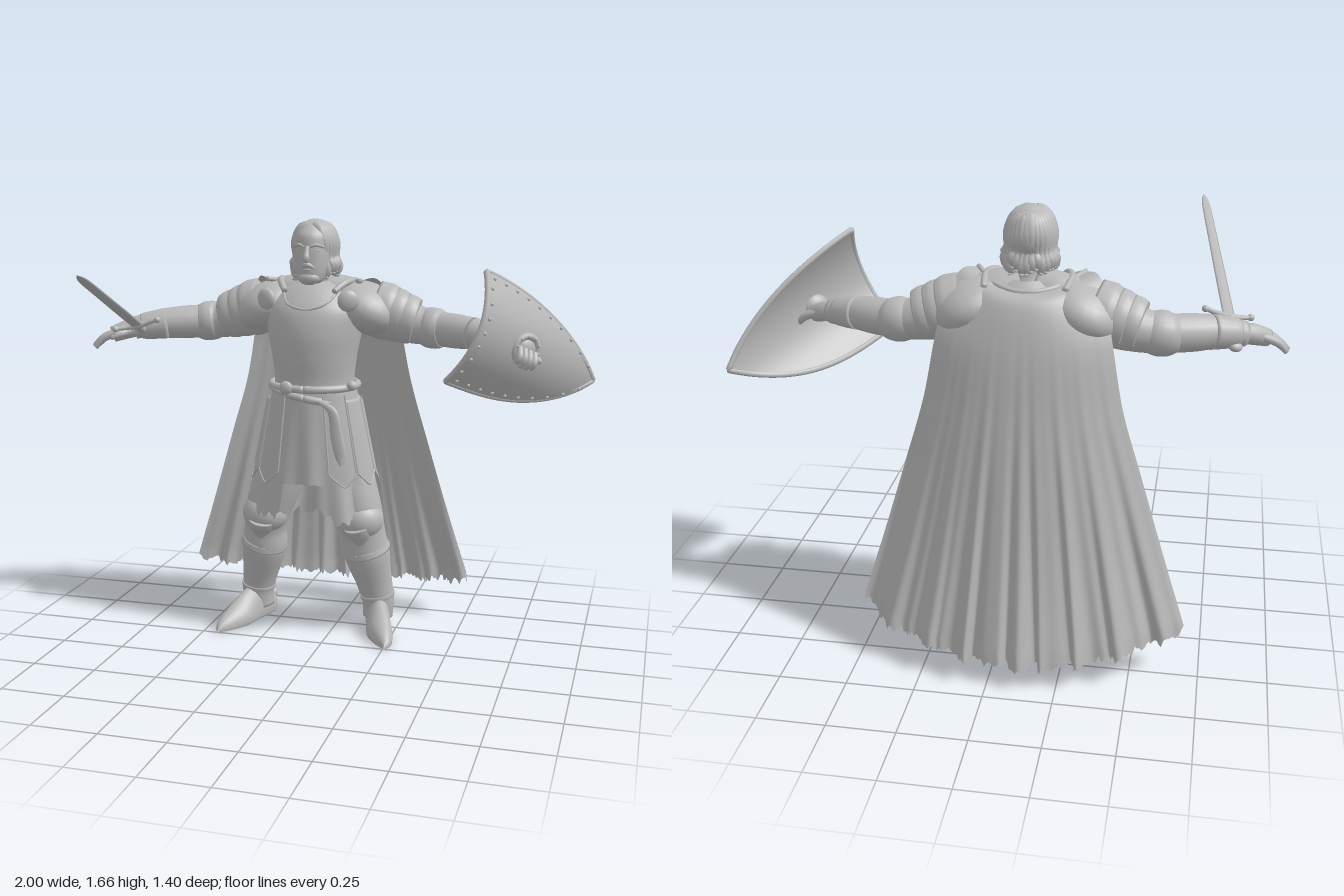
import * as THREE from 'three';

const V = (x, y, z) => new THREE.Vector3(x, y, z);
const CX = -0.09; // body centre line
const { sin, cos, abs, PI, pow, min, max } = Math;
const steel = new THREE.MeshStandardMaterial({ color: 0xb8b8b8, side: THREE.DoubleSide });
steel.name = 'plain grey';

// surface from f(u, v) -> [x, y, z], optionally closed in u
function grid(f, nu, nv, closed = false) {
  const pos = [], idx = [], w = closed ? nu : nu + 1;
  for (let j = 0; j <= nv; j++) for (let i = 0; i < w; i++) pos.push(...f(i / nu, j / nv));
  for (let j = 0; j < nv; j++) for (let i = 0; i < nu; i++) {
    const a = j * w + i, b = j * w + (i + 1) % w;
    idx.push(a, a + w, b, b, a + w, b + w);
  }
  const g = new THREE.BufferGeometry();
  g.setAttribute('position', new THREE.Float32BufferAttribute(pos, 3));
  g.setIndex(idx);
  g.computeVertexNormals();
  return g;
}
// smooth lookup in a table of rows
function rowAt(rows, t) {
  const p = t * (rows.length - 1), i = min(Math.floor(p), rows.length - 2), f = p - i;
  const at = k => rows[max(0, min(rows.length - 1, k))];
  return rows[i].map((b, k) => {
    const a = at(i - 1)[k], c = at(i + 1)[k], d = at(i + 2)[k];
    return b + 0.5 * f * (c - a + f * (2 * a - 5 * b + 4 * c - d + f * (3 * (b - c) + d - a)));
  });
}
// rounded limb through points [x, y, z, radius]
function limb(pts, nu = 16, nv = 20) {
  const first = V(...pts[0]), last = V(...pts[pts.length - 1]);
  const dir = last.clone().sub(first).normalize();
  const ref = abs(dir.y) > 0.8 ? V(0, 0, 1) : V(0, 1, 0);
  return grid((u, v) => {
    const t = max(0, min(1, (v * (nv + 2) - 1) / nv)), r = rowAt(pts, t), e = 0.01;
    const a = rowAt(pts, max(0, t - e)), b = rowAt(pts, min(1, t + e));
    const tan = V(b[0] - a[0], b[1] - a[1], b[2] - a[2]).normalize();
    const s = V().crossVectors(tan, ref).normalize(), q = V().crossVectors(s, tan);
    const R = v === 0 || v === 1 ? 0 : r[3], c = R * cos(u * 2 * PI), d = R * sin(u * 2 * PI);
    return [r[0] + s.x * c + q.x * d, r[1] + s.y * c + q.y * d, r[2] + s.z * c + q.z * d];
  }, nu, nv + 2, true);
}
// upright body from rows [y, cz, rx, rz]
const lathe = (rows, nu = 36, nv = 30) => grid((u, v) => {
  const [y, z, rx, rz] = rowAt(rows, v), a = u * 2 * PI;
  return [CX + rx * sin(a), y, z + rz * cos(a)];
}, nu, nv, true);
const wobble = k => { const s = sin(k * 127.1) * 43758.5; return s - Math.floor(s); };

export function createModel() {
  const model = new THREE.Group();
  const add = (name, geo, parent = model) => {
    const m = new THREE.Mesh(geo, steel);
    m.name = name;
    parent.add(m);
    return m;
  };
  const ball = (name, x, y, z, rx, ry = rx, rz = rx, parent = model) => {
    const m = add(name, new THREE.SphereGeometry(1, 24, 16), parent);
    m.position.set(x, y, z);
    m.scale.set(rx, ry, rz);
    return m;
  };

  // cuirass and neck
  add('cuirass', lathe([[0.95, -0.225, 0.17, 0.155], [1.03, -0.225, 0.16, 0.148], [1.13, -0.225, 0.17, 0.16],
    [1.23, -0.23, 0.188, 0.17], [1.32, -0.24, 0.195, 0.16], [1.385, -0.26, 0.15, 0.13], [1.425, -0.265, 0.075, 0.085]]));
  add('neck', limb([[CX, 1.36, -0.265, 0.08], [CX, 1.42, -0.255, 0.062], [CX, 1.5, -0.24, 0.06]]));
  add('collarEdge', limb([[-0.2, 1.39, -0.17, 0.005], [-0.165, 1.345, -0.1, 0.005], [CX, 1.325, -0.084, 0.005],
    [-0.015, 1.345, -0.1, 0.005], [0.02, 1.39, -0.17, 0.005]], 8, 24));

  // head
  add('head', lathe([[1.415, -0.185, 0.004, 0.004], [1.425, -0.175, 0.042, 0.048], [1.46, -0.185, 0.062, 0.068],
    [1.51, -0.205, 0.074, 0.09], [1.56, -0.22, 0.078, 0.104], [1.61, -0.225, 0.073, 0.1], [1.65, -0.23, 0.04, 0.06]]));
  add('nose', limb([[CX, 1.565, -0.118, 0.008], [CX, 1.54, -0.11, 0.011], [CX, 1.518, -0.103, 0.014], [CX, 1.508, -0.112, 0.008]], 12, 10));
  add('moustache', limb([[-0.125, 1.472, -0.135, 0.005], [CX, 1.495, -0.115, 0.01], [-0.055, 1.472, -0.135, 0.005]], 10, 12));
  ball('lowerLip', CX, 1.475, -0.121, 0.018, 0.006, 0.008);
  ball('beard', CX, 1.442, -0.146, 0.044, 0.028, 0.034);
  for (const s of [-1, 1]) {
    add('brow', limb([[CX + s * 0.012, 1.563, -0.12, 0.006], [CX + s * 0.036, 1.57, -0.128, 0.007], [CX + s * 0.06, 1.56, -0.15, 0.005]], 8, 10));
    ball('eye', CX + s * 0.034, 1.548, -0.134, 0.012, 0.006, 0.006);
  }
  const cap = ball('hairCap', CX, 1.57, -0.243, 0.085, 0.096, 0.114);
  cap.rotation.x = -0.1;
  for (let i = 0; i < 25; i++) {
    const a = 0.78 + i / 24 * (2 * PI - 1.56), x = sin(a), z = cos(a), k = wobble(i + 1), back = max(0, -z);
    const low = 1.44 + 0.035 * k, out = 0.084 + 0.012 * k;
    add('hairLock', limb([[CX + 0.012 * x, 1.64, -0.225 + 0.06 * z, 0.018], [CX + 0.05 * x, 1.628, -0.235 + 0.082 * z, 0.022],
      [CX + 0.077 * x, 1.575, -0.24 + 0.1 * z, 0.019], [CX + 0.076 * x, 1.52, -0.25 + (0.095 - 0.02 * back) * z, 0.017],
      [CX + out * x, low + 0.02, -0.25 + 0.09 * z, 0.018], [CX + 0.075 * x, low - 0.005, -0.25 + 0.078 * z, 0.012],
      [CX + 0.094 * x, low - 0.01, -0.25 + 0.1 * z, 0.004]], 8, 20));
  }

  // skirt with a front opening and a frayed hem; a = 0 is the front
  const skirt = (a, y, off = 0) => {
    const t = max(0, (1.0 - y) / 0.5), f = off || 0.008 * t * sin(a * 13);
    return [CX + (0.168 + 0.105 * t + f) * sin(a), y, -0.228 + (0.158 + 0.02 * t + f) * cos(a)];
  };
  add('skirt', grid((u, v) => {
    const a = (u - 0.5) * 2 * PI, d = abs(a), open = d < 0.34;
    const hem = open ? 0.63 : 0.48 - 0.08 * (d / PI);
    return skirt(a, 1 - v * (1 - hem - (open ? 0.008 : 0.045) * wobble(Math.round(u * 150))));
  }, 150, 16));
  const tasset = (a0, half, top, low) => {
    const edge = u => low + 0.05 * pow(abs(2 * u - 1), 1.2);
    add('tasset', grid((u, v) => skirt(a0 + (2 * u - 1) * half, top + (edge(u) - top) * v, 0.016), 12, 10));
    add('tassetTrim', limb([0, 0.25, 0.5, 0.75, 1].map(u => [...skirt(a0 + (2 * u - 1) * half, edge(u), 0.016), 0.004]), 6, 20));
    for (const e of [-1, 1]) add('tassetTrim', limb([0, 0.5, 1].map(t =>
      [...skirt(a0 + e * half, top + (low + 0.05 - top) * t, 0.016), 0.004]), 6, 8));
  };
  for (const s of [-1, 1]) {
    tasset(s * 0.68, 0.25, 0.99, 0.63);
    for (const a of [1.23, 1.76, 2.29, 2.82]) tasset(s * a, 0.26, 0.96, 0.63);
  }

  // belt, sash, studs and hanging strap
  const around = (a, y, r) => [CX + 0.172 * sin(a), y, -0.226 + 0.162 * cos(a), r];
  const loop = (y0, tilt, r) => limb(Array.from({ length: 25 }, (_, i) => around(i / 12 * PI, y0 - tilt * sin(i / 12 * PI), r)), 10, 72);
  add('belt', loop(1.015, 0, 0.015));
  add('sash', loop(0.98, 0.03, 0.015));
  ball('beltStud', -0.16, 1.02, -0.06, 0.027, 0.027, 0.015);
  ball('beltStud', 0.09, 1.03, -0.12, 0.02);
  const strap = [[-0.03, 0.975, -0.06, 0.016], [0.03, 0.94, -0.045, 0.018], [0.05, 0.85, -0.036, 0.024], [0.07, 0.77, -0.025, 0.022], [0.075, 0.73, -0.018, 0.003]];
  add('hangingStrap', grid((u, v) => {
    const [x, y, z, w] = rowAt(strap, v), a = u * 2 * PI;
    return [x + w * cos(a), y + 0.3 * w * cos(a), z + 0.009 * sin(a)];
  }, 14, 20, true));

  // limbs, built for both sides of the body
  for (const s of [-1, 1]) {
    const P = (d, y, z, r) => [CX + s * d, y, z, r];
    add('leg', limb([P(0.09, 0.85, -0.23, 0.1), P(0.14, 0.65, -0.22, 0.105), P(0.19, 0.5, -0.21, 0.095), P(0.21, 0.41, -0.22, 0.086),
      P(0.22, 0.32, -0.235, 0.093), P(0.245, 0.2, -0.255, 0.074), P(0.26, 0.12, -0.265, 0.066), P(0.258, 0.05, -0.27, 0.062)], 20, 36));
    ball('kneeCop', ...P(0.2, 0.475, -0.19, 0).slice(0, 3), 0.095, 0.085, 0.09);
    add('kneePoint', limb([P(0.2, 0.46, -0.15, 0.06), P(0.207, 0.42, -0.16, 0.05), P(0.212, 0.37, -0.163, 0.02)], 14, 10));
    add('bootCuff', limb([P(0.215, 0.355, -0.229, 0.092), P(0.221, 0.33, -0.234, 0.097)], 20, 4));
    add('ankleStrap', limb([P(0.256, 0.15, -0.262, 0.071), P(0.258, 0.135, -0.264, 0.071)], 20, 4));
    // foot rows: offset, z, half width, height
    const foot = [[0.24, -0.345, 0.004, 0.05], [0.243, -0.33, 0.042, 0.09], [0.256, -0.27, 0.055, 0.14], [0.28, -0.19, 0.054, 0.128],
      [0.305, -0.1, 0.058, 0.08], [0.33, -0.035, 0.034, 0.043], [0.346, 0, 0.003, 0.012]];
    add('boot', grid((u, v) => {
      const [d, z, w, h] = rowAt(foot, v), a = u * 2 * PI;
      return [CX + s * (d + w * cos(a)), 0.005 + max(0, h * (0.25 + 0.75 * sin(a))), z + 0.3 * w * cos(a)];
    }, 24, 24, true));
    add('spurBar', limb([P(0.24, 0.08, -0.33, 0.012), P(0.235, 0.065, -0.375, 0.01)], 8, 4));
    ball('spur', ...P(0.235, 0.065, -0.378, 0).slice(0, 3), 0.022);

    // arm with overlapping plates
    add('shoulderSlope', limb([P(0.02, 1.38, -0.27, 0.075), P(0.1, 1.355, -0.28, 0.09), P(0.2, 1.32, -0.29, 0.09)], 18, 10));
    add('arm', limb([P(0.16, 1.32, -0.28, 0.1), P(0.3, 1.28, -0.3, 0.09), P(0.4, 1.255, -0.3, 0.077), P(0.48, 1.245, -0.285, 0.068),
      P(0.57, 1.24, -0.25, 0.067), P(0.66, 1.235, -0.21, 0.058), P(0.75, 1.22, -0.175, 0.045)], 20, 30));
    const dome = ball('pauldron', ...P(0.2, 1.318, -0.29, 0).slice(0, 3), 0.15, 0.098, 0.165);
    dome.rotation.z = -s * 0.4;
    add('pauldronFlange', limb([P(0.1, 1.39, -0.15, 0.012), P(0.13, 1.42, -0.2, 0.014), P(0.15, 1.425, -0.28, 0.014), P(0.14, 1.41, -0.38, 0.012)], 10, 20));
    for (let i = 0; i < 3; i++) {
      const d = 0.255 + i * 0.045, y = 1.308 - i * 0.014, r = 0.113 - i * 0.008;
      add('shoulderLame', limb([P(d - 0.03, y + 0.012, -0.29, r - 0.004), P(d + 0.02, y - 0.004, -0.295, r + 0.001), P(d + 0.05, y - 0.012, -0.298, r - 0.008)], 24, 8));
    }
    add('elbowCop', limb([P(0.42, 1.25, -0.297, 0.071), P(0.45, 1.247, -0.295, 0.08), P(0.485, 1.243, -0.283, 0.079), P(0.51, 1.242, -0.274, 0.068)], 20, 14));
    add('gauntletCuff', limb([P(0.63, 1.237, -0.224, 0.063), P(0.7, 1.228, -0.193, 0.056), P(0.725, 1.225, -0.183, 0.05)], 20, 8));
    const disc = ball('shoulderDisc', ...P(0.165, 1.36, -0.115, 0).slice(0, 3), 0.042, 0.042, 0.02);
    disc.rotation.y = s * 0.4;
    // open hand
    add('palm', limb([P(0.735, 1.222, -0.18, 0.036), P(0.775, 1.215, -0.16, 0.038), P(0.83, 1.195, -0.13, 0.032)], 14, 10));
    for (let i = 0; i < 4; i++) {
      const z = -0.165 + i * 0.028, b = 0.825 - i * 0.006, l = 0.088 - 0.012 * abs(i - 1.2);
      add('finger', limb([P(b - 0.02, 1.21, z, 0.016), P(b + 0.5 * l, 1.187, z + 0.012, 0.015), P(b + l, 1.15, z + 0.022, 0.01)], 10, 10));
    }
    add('thumb', limb([P(0.76, 1.215, -0.13, 0.018), P(0.775, 1.205, -0.09, 0.016), P(0.81, 1.19, -0.065, 0.01)], 10, 10));
  }

  // cape rows: centre y, edge lift, half width, centre z, edge z
  const cape = [[1.4, 0.03, 0.19, -0.39, -0.21], [1.37, 0.055, 0.25, -0.455, -0.28], [1.22, 0.05, 0.3, -0.505, -0.4],
    [1.0, 0.01, 0.35, -0.54, -0.43], [0.75, 0.02, 0.42, -0.575, -0.43], [0.42, 0.05, 0.51, -0.615, -0.435], [0.1, 0.085, 0.6, -0.66, -0.445]];
  add('cape', grid((u, v) => {
    const s = 2 * u - 1, [y, lift, hw, zc, ze] = rowAt(cape, v);
    const k = pow(v, 4), fold = k * (0.022 * sin(s * 30 + 2 * sin(s * 4)) + 0.011 * sin(s * 53 + 1));
    const fray = v > 0.999 ? 0.035 * wobble(Math.round(u * 160)) : 0;
    return [CX + hw * s + 0.012 * k * cos(s * 30) * (1 - s * s), y + lift * s * s - fray, ze + (zc - ze) * (1 - pow(abs(s), 2.3)) + fold];
  }, 160, 48));
  add('capeCollar', limb([-1, -0.6, -0.25, 0, 0.25, 0.6, 1].map(s =>
    [CX + 0.19 * s, 1.4 + 0.03 * s * s, -0.21 - 0.18 * (1 - pow(abs(s), 2.3)), 0.01]), 10, 30));

  // shield: curved plate, axes run to the tip, upward and outward
  const shield = new THREE.Group();
  shield.name = 'shield';
  const su = V(0.44, -0.24, -0.41).normalize(), sw = V(0.667, -0.05, 0.745);
  const sv = V().crossVectors(sw, su).normalize();
  shield.applyMatrix4(new THREE.Matrix4().makeBasis(su, sv, V().crossVectors(su, sv)).setPosition(0.55, 1.29, 0.02));
  model.add(shield);
  const half = (t, k) => k > 0 ? 0.217 * (1 - pow(t, 2.3)) : 0.208 * (1 - pow(t, 3.2));
  const bend = (x, y) => 0.1 * (1 - pow(y / 0.217, 2) - x / 0.65);
  const on = (t, k, off = 0) => [0.65 * t, half(t, k) * k, bend(0.65 * t, half(t, k) * k) + off];
  for (const [name, off] of [['shieldFace', 0.006], ['shieldBack', -0.008]])
    add(name, grid((u, v) => on(v, 2 * u - 1, off), 24, 28), shield);
  const rim = f => add('shieldRim', limb(Array.from({ length: 13 }, (_, i) => [...f(i / 12), 0.011]), 8, 36), shield);
  for (const k of [-1, 1]) {
    rim(t => on(t, k));
    add('shieldBorder', grid((u, v) => on(v * 0.95, k * (1 - 0.13 * u), 0.011), 3, 28), shield);
    for (let i = 0; i < 10; i++) ball('rivet', ...on(0.05 + i * 0.095, k * 0.93, 0.013), 0.007, 0.007, 0.005, shield);
  }
  add('shieldBorder', grid((u, v) => on(0.05 * u, 2 * v - 1, 0.011), 3, 28), shield);
  rim(t => on(0, 2 * t - 1));
  for (let i = 1; i < 8; i++) ball('rivet', ...on(0.025, i / 4 - 1, 0.013), 0.007, 0.007, 0.005, shield);
  const boss = add('bossRing', new THREE.TorusGeometry(0.05, 0.014, 12, 32), shield);
  boss.position.set(0.237, 0.005, 0.075);
  ball('boss', 0.237, 0.005, 0.062, 0.05, 0.05, 0.032, shield);
  for (let i = 0; i < 10; i++) ball('bossStud', 0.237 + 0.05 * cos(i * PI / 5), 0.005 + 0.05 * sin(i * PI / 5), 0.088, 0.006, 0.006, 0.006, shield);
  for (let i = 0; i < 4; i++) {
    const x = 0.2 + i * 0.024, low = -0.068 + 0.008 * abs(i - 1.5);
    add('grippingFinger', limb([[x, 0.005, 0.085, 0.012], [x, -0.03, 0.107, 0.013], [x, low, 0.095, 0.01]], 10, 10), shield);
  }

  // sword pointing forward and up
  const sword = new THREE.Group();
  sword.name = 'sword';
  const along = V(0.125, 0.26, 0.76).normalize();
  const flat = V().crossVectors(V(1, 0.25, -0.2), along).normalize();
  sword.applyMatrix4(new THREE.Matrix4().makeBasis(V().crossVectors(along, flat), along, flat).setPosition(-0.78, 1.245, -0.06));
  model.add(sword);
  const bladeRows = [[0, 0.023], [0.25, 0.022], [0.5, 0.02], [0.74, 0.017], [0.818, 0.001]];
  add('blade', grid((u, v) => {
    const [y, w] = rowAt(bladeRows, v), a = u * 2 * PI;
    return [w * cos(a), y, 0.006 * sin(a) * (w / 0.023)];
  }, 8, 24, true), sword);
  add('crossGuard', limb([[-0.085, 0.015, 0, 0.008], [-0.04, 0, 0, 0.01], [0, -0.004, 0, 0.014], [0.04, 0, 0, 0.01], [0.085, 0.015, 0, 0.008]], 10, 20), sword);
  for (const s of [-1, 1]) ball('guardKnob', s * 0.086, 0.015, 0, 0.013, 0.013, 0.013, sword);
  add('grip', limb([[0, 0, 0, 0.013], [0, -0.08, 0, 0.016], [0, -0.16, 0, 0.012]], 12, 10), sword);
  ball('pommel', 0, -0.175, 0, 0.027, 0.024, 0.018, sword);
  return model;
}
